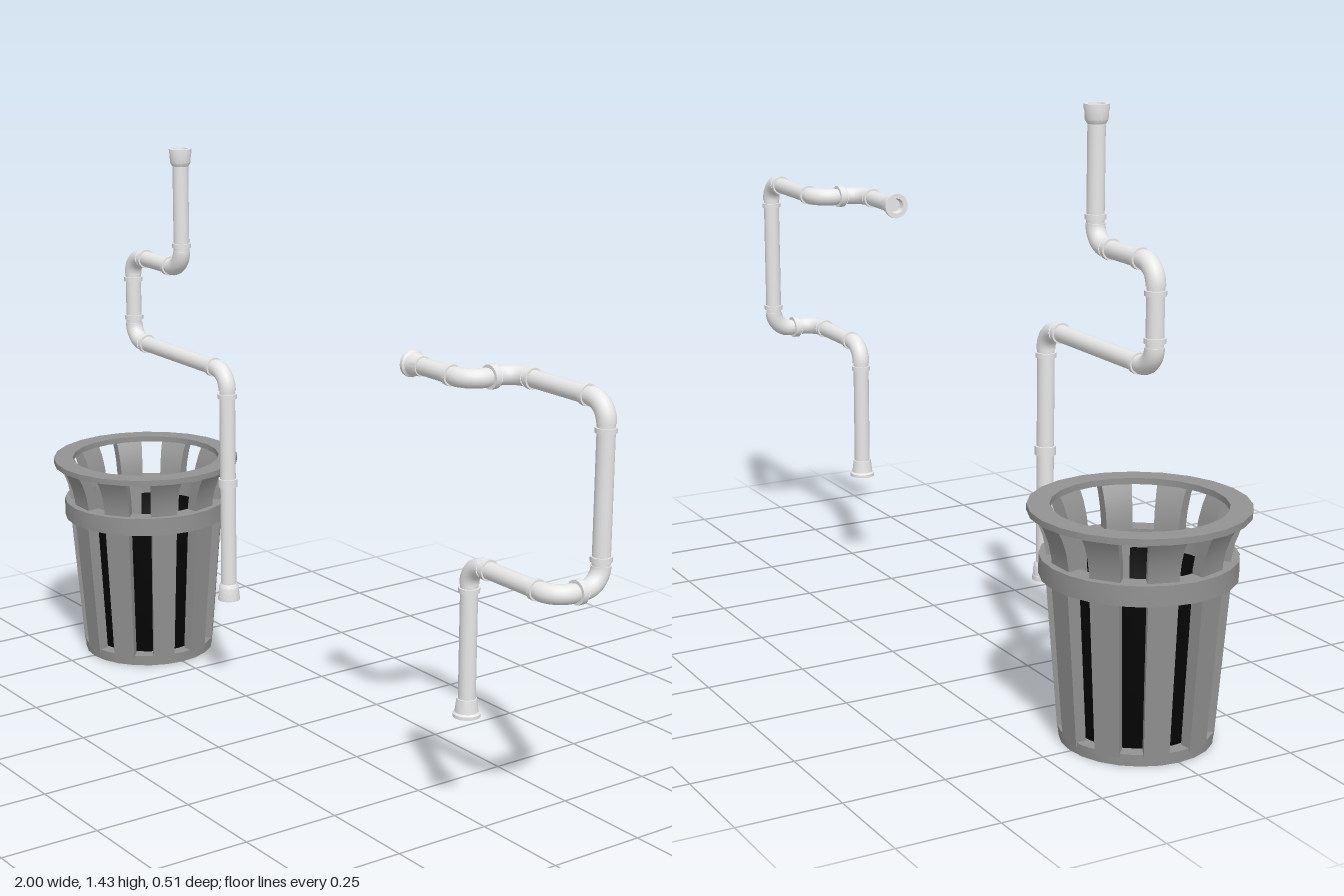
import * as THREE from 'three';
import { toCreasedNormals } from 'three/addons/utils/BufferGeometryUtils.js';

const binGrey = new THREE.MeshStandardMaterial({ name: 'binGrey', color: 0x929292 });
const linerBlack = new THREE.MeshStandardMaterial({ name: 'linerBlack', color: 0x060606, side: THREE.DoubleSide });
const pipeGrey = new THREE.MeshStandardMaterial({ name: 'pipeGrey', color: 0xececec });

const PIPE_R = 0.021, BEND = 0.05;
const UP = new THREE.Vector3(0, 1, 0);

function add(parent, name, geometry, material) {
  const mesh = new THREE.Mesh(geometry, material);
  mesh.name = name;
  parent.add(mesh);
  return mesh;
}

// Revolved profile of [radius, y] pairs, listed counter-clockwise
function revolve(profile, sides) {
  const points = profile.map(([r, y]) => new THREE.Vector2(r, y));
  return toCreasedNormals(new THREE.LatheGeometry(points, sides), 0.5);
}

function ring(inner, outer, y0, y1, sides = 24) {
  return revolve([[inner, y0], [outer, y0], [outer, y1], [inner, y1], [inner, y0]], sides);
}

// Slat cut from a side profile, widening with its distance from the axis
function slatGeometry(profile, width) {
  const shape = new THREE.Shape(profile.map(([r, y]) => new THREE.Vector2(r, y)));
  const geometry = new THREE.ExtrudeGeometry(shape, { depth: width, bevelEnabled: false });
  geometry.translate(0, 0, -width / 2);
  const p = geometry.attributes.position;
  for (let i = 0; i < p.count; i++) p.setZ(i, p.getZ(i) * p.getX(i) / 0.2);
  return toCreasedNormals(geometry, 0.5);
}

function createBin() {
  const bin = new THREE.Group();
  bin.name = 'litterBin';
  add(bin, 'base', revolve([[0, 0], [0.178, 0], [0.18, 0.028], [0, 0.028]], 24), binGrey);
  add(bin, 'band', ring(0.178, 0.227, 0.392, 0.44), binGrey);
  add(bin, 'rim', ring(0.203, 0.255, 0.541, 0.556), binGrey);

  // Upright slats and the flared slats that carry the rim
  const upright = slatGeometry([[0.15, 0.02], [0.179, 0.02], [0.21, 0.41], [0.175, 0.41]], 0.066);
  const flare = slatGeometry([
    [0.175, 0.4], [0.206, 0.4], [0.208, 0.45], [0.215, 0.485], [0.227, 0.518], [0.243, 0.545],
    [0.21, 0.545], [0.195, 0.518], [0.183, 0.485], [0.176, 0.45],
  ], 0.07);
  const count = 10;
  for (let i = 0; i < count; i++) {
    const angle = -Math.PI / 2 + (i / count) * Math.PI * 2;
    add(bin, 'uprightSlat', upright, binGrey).rotation.y = angle;
    add(bin, 'flaredSlat', flare, binGrey).rotation.y = angle;
  }

  // Open-topped inner liner
  const liner = [[0, 0.032], [0.153, 0.032], [0.177, 0.395]].map(([r, y]) => new THREE.Vector2(r, y));
  add(bin, 'liner', new THREE.LatheGeometry(liner, 24), linerBlack);
  bin.position.x = -0.745;
  return bin;
}

// Place a y-axis geometry at a point, pointing along a direction
function along(mesh, point, direction) {
  mesh.position.copy(point);
  mesh.quaternion.setFromUnitVectors(UP, direction);
}

const collarGeometry = new THREE.CylinderGeometry(0.0255, 0.0255, 0.012, 16);
const sharedCollarGeometry = new THREE.CylinderGeometry(0.029, 0.029, 0.016, 16);

// Hollow end fitting; its open mouth is at y = 0 and faces +y
const socket = revolve([[0.016, -0.045], [0.022, -0.045], [0.027, -0.036], [0.0285, -0.012],
  [0.03, -0.012], [0.03, 0], [0.02, 0], [0.016, -0.02], [0.016, -0.045]], 16);
const flangedSocket = revolve([[0.016, -0.045], [0.024, -0.045], [0.027, -0.02], [0.028, -0.012],
  [0.033, -0.008], [0.033, 0], [0.02, 0], [0.016, -0.02], [0.016, -0.045]], 16);

// Straight runs joined by round elbows, with a collar on each side of an elbow
function createPipe(name, path, end) {
  const pipe = new THREE.Group();
  pipe.name = name;
  const pts = path.map((p) => new THREE.Vector3(...p));
  const last = pts.length - 1;

  for (let i = 0; i < last; i++) {
    const dir = pts[i + 1].clone().sub(pts[i]).normalize();
    const whole = pts[i].distanceTo(pts[i + 1]);
    const from = i === 0 ? 0.015 : BEND;
    const to = whole - (i + 1 === last ? 0.015 : BEND);
    const at = (d) => pts[i].clone().addScaledVector(dir, d);
    const run = new THREE.CylinderGeometry(PIPE_R, PIPE_R, to - from, 16);
    along(add(pipe, 'straightRun', run, pipeGrey), at((from + to) / 2), dir);

    // Short runs share one larger collar
    if (whole < 0.15) {
      along(add(pipe, 'sharedCollar', sharedCollarGeometry, pipeGrey), at(whole / 2), dir);
    } else {
      const collars = [];
      if (i > 0) collars.push(BEND + 0.015);
      if (i + 1 < last) collars.push(whole - BEND - 0.015);
      for (const d of collars) along(add(pipe, 'collar', collarGeometry, pipeGrey), at(d), dir);
    }

    if (i + 1 < last) {
      const corner = pts[i + 1];
      const next = pts[i + 2].clone().sub(corner).normalize();
      const point = (v, d) => corner.clone().addScaledVector(v, d);
      const curve = new THREE.CubicBezierCurve3(
        point(dir, -BEND), point(dir, -BEND * 0.448), point(next, BEND * 0.448), point(next, BEND));
      add(pipe, 'elbow', new THREE.TubeGeometry(curve, 10, PIPE_R + 0.002, 16), pipeGrey);
    }
  }

  along(add(pipe, 'startSocket', end, pipeGrey), pts[0], pts[0].clone().sub(pts[1]).normalize());
  along(add(pipe, 'endSocket', end, pipeGrey), pts[last], pts[last].clone().sub(pts[last - 1]).normalize());
  return pipe;
}

export function createModel() {
  const model = new THREE.Group();
  model.name = 'binAndPipes';
  model.add(createBin());

  const flatPipe = createPipe('flatPipe', [
    [-0.542, 1.434, 0], [-0.542, 1.114, 0], [-0.793, 1.114, 0],
    [-0.793, 0.878, 0], [-0.328, 0.878, 0], [-0.328, 0.253, 0],
  ], socket);
  // Coupling halfway down the long drop
  add(flatPipe, 'coupling', new THREE.CylinderGeometry(0.026, 0.026, 0.022, 16), pipeGrey)
    .position.set(-0.328, 0.578, 0);
  model.add(flatPipe);

  model.add(createPipe('offsetPipe', [
    [0.448, 1.052, 0], [0.66, 1.052, 0], [0.66, 1.052, -0.13], [0.972, 1.052, -0.13],
    [0.972, 0.628, -0.13], [0.972, 0.628, 0], [0.676, 0.628, 0], [0.676, 0.253, 0],
  ], flangedSocket));
  return model;
}
